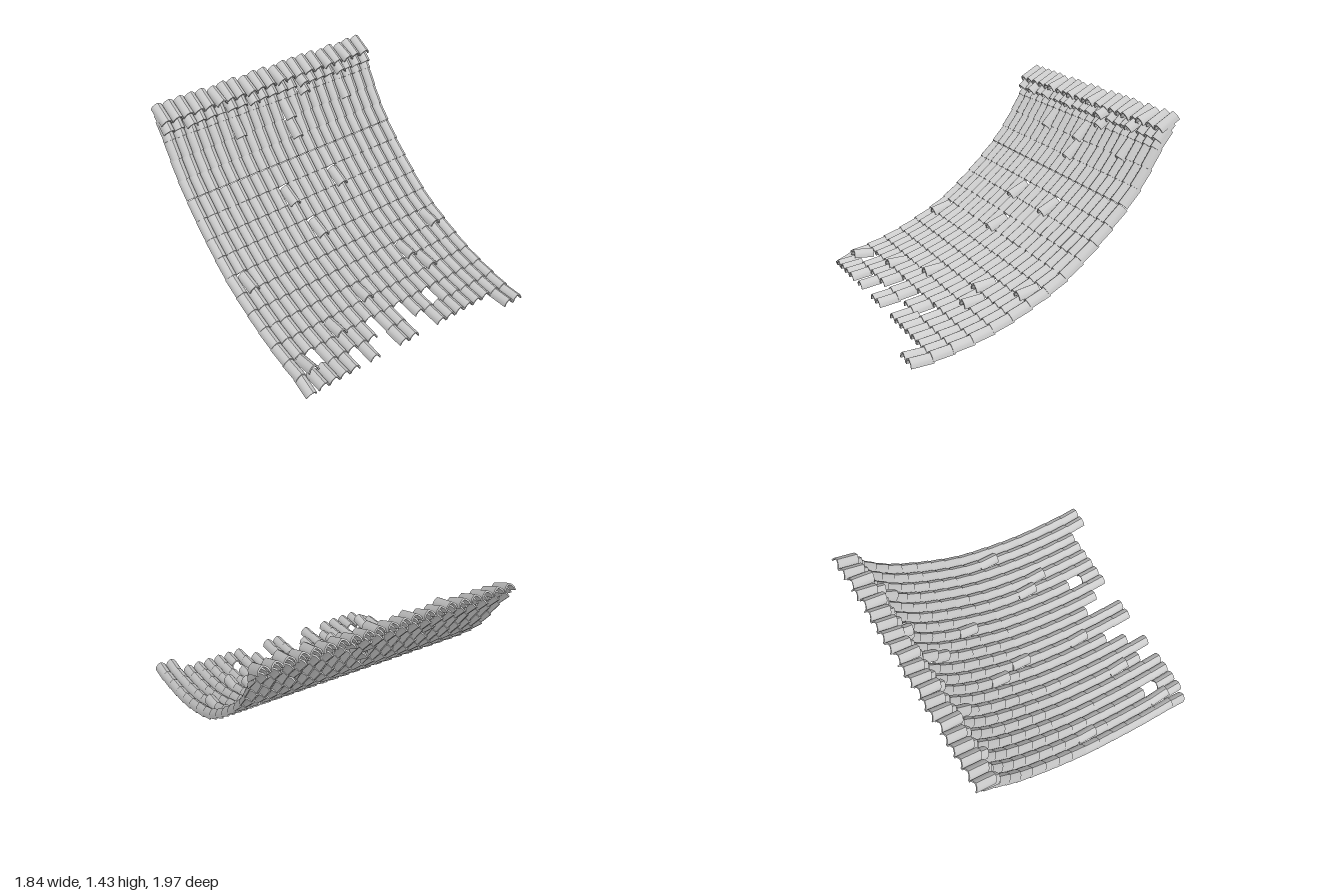
import * as THREE from 'three';
import { toCreasedNormals } from 'three/addons/utils/BufferGeometryUtils.js';

const COLS = 21, PITCH = 0.0876, LEN = 0.157;

// Ridge line of each course's front edge, eave to top: [z, y]
const COURSES = [
  [1.0, 0.094], [0.855, 0.105], [0.715, 0.13], [0.575, 0.16], [0.435, 0.2],
  [0.3, 0.25], [0.165, 0.31], [0.035, 0.375], [-0.09, 0.45], [-0.21, 0.545],
  [-0.32, 0.64], [-0.43, 0.745], [-0.54, 0.86], [-0.63, 0.97], [-0.71, 1.095],
  [-0.78, 1.22], [-0.865, 1.34],
];
// Looser courses piled near the top: front edge z, y and slope
const TOP_COURSES = [[-0.785, 1.285, 0.74], [-0.808, 1.362, 0.5]];

// Columns kept in the broken courses at the eave
const KEPT = {
  0: [19, 20],
  1: [0, 1, 2, 3, 4, 6, 9, 10, 13, 14, 15, 16, 17, 18, 19, 20],
  2: [0, 1, 3, 4, 5, 6, 7, 9, 10, 12, 13, 15, 16, 17, 18, 19, 20],
};
// Loose tiles, 'course,column': tilt of the front edge
const LOOSE = {
  '1,0': -0.3, '2,1': 0.25, '3,5': 0.22, '4,9': 0.22, '4,16': 0.22, '5,15': 0.24,
  '6,19': 0.24, '7,1': 0.22, '8,9': 0.24, '10,8': 0.25, '10,13': 0.25,
  '13,11': 0.22, '14,6': 0.16, '14,11': 0.24, '14,17': 0.14, '15,13': 0.25,
  '16,5': -0.15, '16,13': 0.3, '16,8': 0.15, '16,17': 0.2, '16,2': 0.12,
  '17,5': 0.15, '17,8': 0.1, '17,11': 0.15, '17,16': 0.12, '17,18': 0.14,
};

// Small seeded random source, -1 to 1
function seeded(seed) {
  return () => {
    seed = (seed * 16807) % 2147483647;
    return (seed / 2147483647) * 2 - 1;
  };
}

// Pointed arch tile: back end at z = 0, front end at z = LEN, ridge on y = 0
function tileGeometry() {
  const outer = [[0, 0], [0.011, -0.006], [0.022, -0.0135], [0.032, -0.023], [0.039, -0.035], [0.0436, -0.058]];
  const inner = [[0, -0.013], [0.01, -0.018], [0.019, -0.025], [0.026, -0.033], [0.031, -0.042], [0.035, -0.058]];
  const mirror = (pts) => pts.slice(1).reverse().map(([x, y]) => [-x, y]);
  const outline = [
    ...mirror(outer), ...outer,
    ...[...inner].reverse(), ...mirror(inner).reverse(),
  ].map(([x, y]) => new THREE.Vector2(x, y));
  const geo = new THREE.ExtrudeGeometry(new THREE.Shape(outline), { depth: LEN, bevelEnabled: false });
  return toCreasedNormals(geo, 0.5);
}

export function createModel() {
  const model = new THREE.Group();
  model.name = 'tiledRoof';
  const geo = tileGeometry();
  const mat = new THREE.MeshStandardMaterial({ color: 0xcccccc });
  const rand = seeded(71);

  // Lay one course of tiles from its front edge and slope
  function addCourse(row, z, y, slope, jitter) {
    const course = new THREE.Group();
    course.name = `tileCourse${row + 1}`;
    for (let col = 0; col < COLS; col++) {
      if (KEPT[row] && !KEPT[row].includes(col)) continue;
      const lift = LOOSE[`${row},${col}`] || 0;
      const slide = lift > 0 ? 0.012 : 0;
      const tile = new THREE.Mesh(geo, mat);
      tile.name = lift ? 'looseTile' : 'tile';
      // Pivot at the back end
      tile.position.set(
        (col - (COLS - 1) / 2) * PITCH,
        y + (LEN - slide) * Math.sin(slope),
        z - (LEN - slide) * Math.cos(slope),
      );
      tile.rotation.set(slope - lift + rand() * jitter, rand() * jitter * 0.4, 0);
      course.add(tile);
    }
    model.add(course);
  }

  // Regular courses, each tucked slightly under the next
  for (let r = 0; r < COURSES.length - 1; r++) {
    const [z, y] = COURSES[r], [zb, yb] = COURSES[r + 1];
    const slope = Math.atan2(yb - y, z - zb) - 0.07;
    addCourse(r, z, y, slope, 0.01);
  }
  // Piled courses along the top
  TOP_COURSES.forEach(([z, y, slope], i) =>
    addCourse(COURSES.length - 1 + i, z, y, slope, i ? 0.015 : 0.06));

  return model;
}
